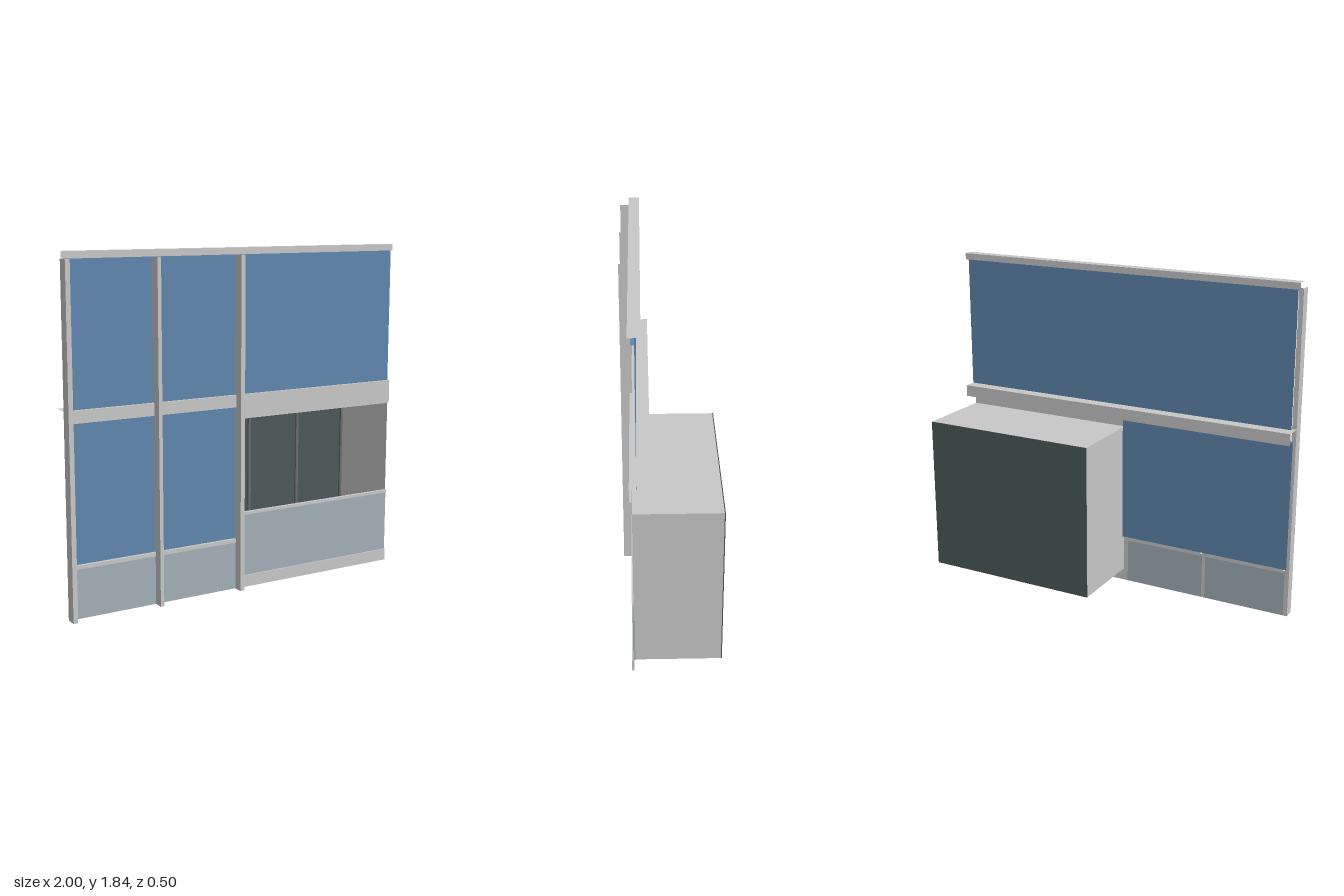
import * as THREE from 'three';

// Face order used by BoxGeometry groups
const FACES = ['+x', '-x', '+y', '-y', '+z', '-z'];
const X_ENDS = ['+x', '-x'];
const Y_ENDS = ['+y', '-y'];

export function createModel() {
  const model = new THREE.Group();
  model.name = 'windowWall';

  const makeMaterial = (name, color, side = THREE.FrontSide) => {
    const m = new THREE.MeshStandardMaterial({ color, side });
    m.name = name;
    return m;
  };
  const frame = makeMaterial('light grey frame', 0xc8c8c8);
  const shell = makeMaterial('light grey shell', 0xc8c8c8, THREE.DoubleSide);
  const glass = makeMaterial('blue glass', 0x5f87ad);
  const panel = makeMaterial('pale blue grey panel', 0xa2b0b8);
  const darkGlass = makeMaterial('dark green glass', 0x4a5a58, THREE.DoubleSide);
  const divider = makeMaterial('dark grey divider', 0x6c6c6e);

  // Box given by its limits; faces listed in omit are left open
  const box = (name, material, [x0, x1], [y0, y1], [z0, z1], omit = []) => {
    const g = new THREE.BoxGeometry(x1 - x0, y1 - y0, z1 - z0);
    const all = Array.from(g.index.array);
    g.setIndex(all.filter((_, i) => !omit.includes(FACES[Math.floor(i / 6)])));
    g.clearGroups();
    g.translate((x0 + x1) / 2, (y0 + y1) / 2, (z0 + z1) / 2);
    const mesh = new THREE.Mesh(g, material);
    mesh.name = name;
    model.add(mesh);
  };

  // Upright mullions, open at top and bottom
  const mullions = [[-1, -0.975], [-0.51, -0.49], [-0.025, 0]];
  mullions.forEach((x) => box('mullion', frame, x, [0, 1.8], [0.19, 0.25], Y_ENDS));

  // Horizontal rails
  box('headRail', frame, [-1, 1], [1.8, 1.835], [0.14, 0.2], X_ENDS);
  box('transom', frame, [-1, 1], [1, 1.065], [0.1, 0.203], [...X_ENDS, '-y']);

  // Large glazing
  box('upperGlass', glass, [-0.98, 1], [1.06, 1.8], [0.168, 0.185], X_ENDS);
  box('lowerGlass', glass, [-0.99, 0], [0.28, 1], [0.168, 0.185], X_ENDS);

  // Low panels and sills between the mullions
  for (let i = 0; i < 2; i++) {
    const x = [mullions[i][1], mullions[i + 1][0]];
    box('lowPanel', panel, x, [0, 0.26], [0.19, 0.197]);
    box('sill', frame, x, [0.26, 0.28], [0.168, 0.203], X_ENDS);
  }

  // Projecting bay: open front, glazed back
  box('bayShell', shell, [0, 1], [0.07, 0.935], [-0.245, 0.19], ['+z', '-z']);
  box('bayBackGlass', darkGlass, [0, 1], [0.07, 0.935], [-0.25, -0.245]);

  // Bay window dividers, inside the back glass
  [[0, 0.015], [0.325, 0.341], [0.658, 0.674], [0.985, 1]].forEach(([a, b]) =>
    box('bayDivider', divider, [Math.max(a, 0.002), Math.min(b, 0.998)], [0.08, 0.92], [-0.244, -0.23]));
  box('bayTopFrame', divider, [0.002, 0.998], [0.92, 0.933], [-0.244, -0.23]);

  // Bay front: low panel, sill and cover strips
  box('bayFrontPanel', panel, [0, 1], [0.065, 0.405], [0.185, 0.195]);
  box('baySill', frame, [0, 1], [0.405, 0.42], [0.18, 0.2], X_ENDS);
  box('bayLintel', frame, [0, 1], [0.935, 1], [0.19, 0.203]);
  box('bayBaseStrip', frame, [0, 1], [0, 0.065], [0.19, 0.203]);

  return model;
}
